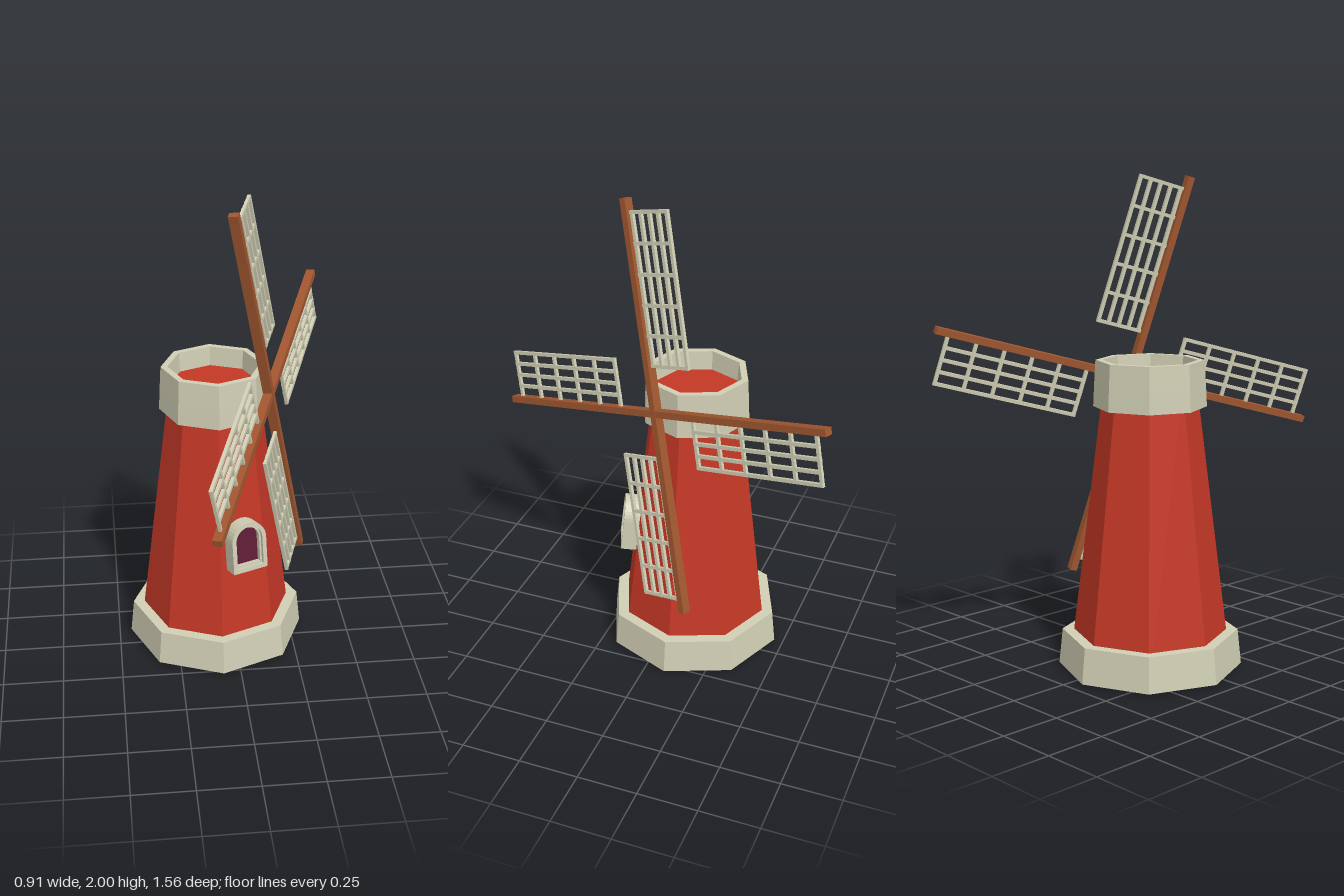
import * as THREE from 'three';

const flat = (color, name) => {
  const m = new THREE.MeshStandardMaterial({ color, flatShading: true });
  m.name = name;
  return m;
};

export function createModel() {
  const red = flat(0xc43826, 'red paint');
  const stone = flat(0xd0ceb4, 'pale stone');
  const wood = flat(0xa0562f, 'brown wood');
  const plum = flat(0x5e1c36, 'dark plum');

  const model = new THREE.Group();
  model.name = 'windmill';

  const add = (parent, name, geometry, material, x = 0, y = 0, z = 0) => {
    const mesh = new THREE.Mesh(geometry, material);
    mesh.name = name;
    mesh.position.set(x, y, z);
    parent.add(mesh);
    return mesh;
  };
  // Closed eight-sided ring from [radius, height] pairs
  const ring = (points) => new THREE.LatheGeometry(
    [...points, points[0]].map(([r, y]) => new THREE.Vector2(r, y)), 8);

  // Tower, with a stone base and a hollow stone crown
  const tower = new THREE.Group();
  tower.name = 'tower';
  tower.position.set(-0.075, 0, -0.09);
  model.add(tower);
  add(tower, 'towerBody', new THREE.CylinderGeometry(0.185, 0.332, 1.19, 8), red, 0, 0.595, 0);
  add(tower, 'baseRing', ring([[0.325, 0.002], [0.375, 0.012], [0.36, 0.157], [0.305, 0.157]]), stone);
  add(tower, 'crown', ring([[0.19, 1.085], [0.228, 1.085], [0.224, 1.17], [0.218, 1.272], [0.19, 1.272], [0.183, 1.18]]), stone);

  // Arched window lying on the sloping wall
  const arch = (w, h, Type = THREE.Shape, y0 = 0) => {
    const s = new Type();
    s.moveTo(-w / 2, y0);
    s.lineTo(w / 2, y0);
    s.lineTo(w / 2, y0 + h - w / 2);
    s.absarc(0, y0 + h - w / 2, w / 2, 0, Math.PI, false);
    s.lineTo(-w / 2, y0);
    return s;
  };
  const archFrame = (w, h, y0, border, depth) => {
    const s = arch(w, h, THREE.Shape, y0);
    s.holes.push(arch(w - 2 * border, h - 2 * border, THREE.Path, y0 + border));
    return new THREE.ExtrudeGeometry(s, { depth, bevelEnabled: false, curveSegments: 8 });
  };
  const wall = new THREE.Group();
  wall.name = 'window';
  wall.rotation.y = Math.PI / 8;
  tower.add(wall);
  const frame = new THREE.Group();
  frame.name = 'windowFrame';
  frame.position.set(0, 0.455, 0.24);
  frame.rotation.x = -0.115;
  wall.add(frame);
  add(frame, 'outerFrame', archFrame(0.158, 0.216, 0, 0.018, 0.08), stone);
  add(frame, 'innerFrame', archFrame(0.124, 0.182, 0.017, 0.009, 0.066), stone);
  add(frame, 'windowPane', new THREE.ShapeGeometry(arch(0.112, 0.17, THREE.Shape, 0.023), 8), plum, 0, 0, 0.045);

  // Rotor: two crossed poles, leaning back with the wall
  const rotor = new THREE.Group();
  rotor.name = 'rotor';
  rotor.position.set(0.14, 1.173, 0.003);
  rotor.rotation.set(-0.1, 1.19, 0.276, 'YXZ');
  model.add(rotor);
  add(rotor, 'uprightPole', new THREE.BoxGeometry(0.028, 1.71, 0.04), wood);
  add(rotor, 'crossPole', new THREE.BoxGeometry(1.71, 0.028, 0.038), wood);

  // Four lattice sails, each a quarter turn apart
  const inner = 0.195, outer = 0.8, width = 0.215, bar = 0.014;
  for (let k = 0; k < 4; k++) {
    const sail = new THREE.Group();
    sail.name = 'sail' + (k + 1);
    sail.rotation.z = -k * Math.PI / 2;
    rotor.add(sail);
    // Sails on the cross pole stand off on the ends of their rungs
    const first = k % 2 ? 0.06 : 0.025;
    const rails = k % 2 ? 4 : 5;
    for (let i = 0; i < rails; i++) {
      const x = first + (width - bar / 2 - first) * i / (rails - 1);
      add(sail, 'rail', new THREE.BoxGeometry(bar, outer - inner + bar, 0.014), stone, x, (inner + outer) / 2, 0);
    }
    for (let i = 0; i < 6; i++) {
      const y = inner + (outer - inner) * i / 5;
      add(sail, 'rung', new THREE.BoxGeometry(width - 0.01, bar, 0.012), stone, (width + 0.01) / 2, y, 0);
    }
  }
  return model;
}
